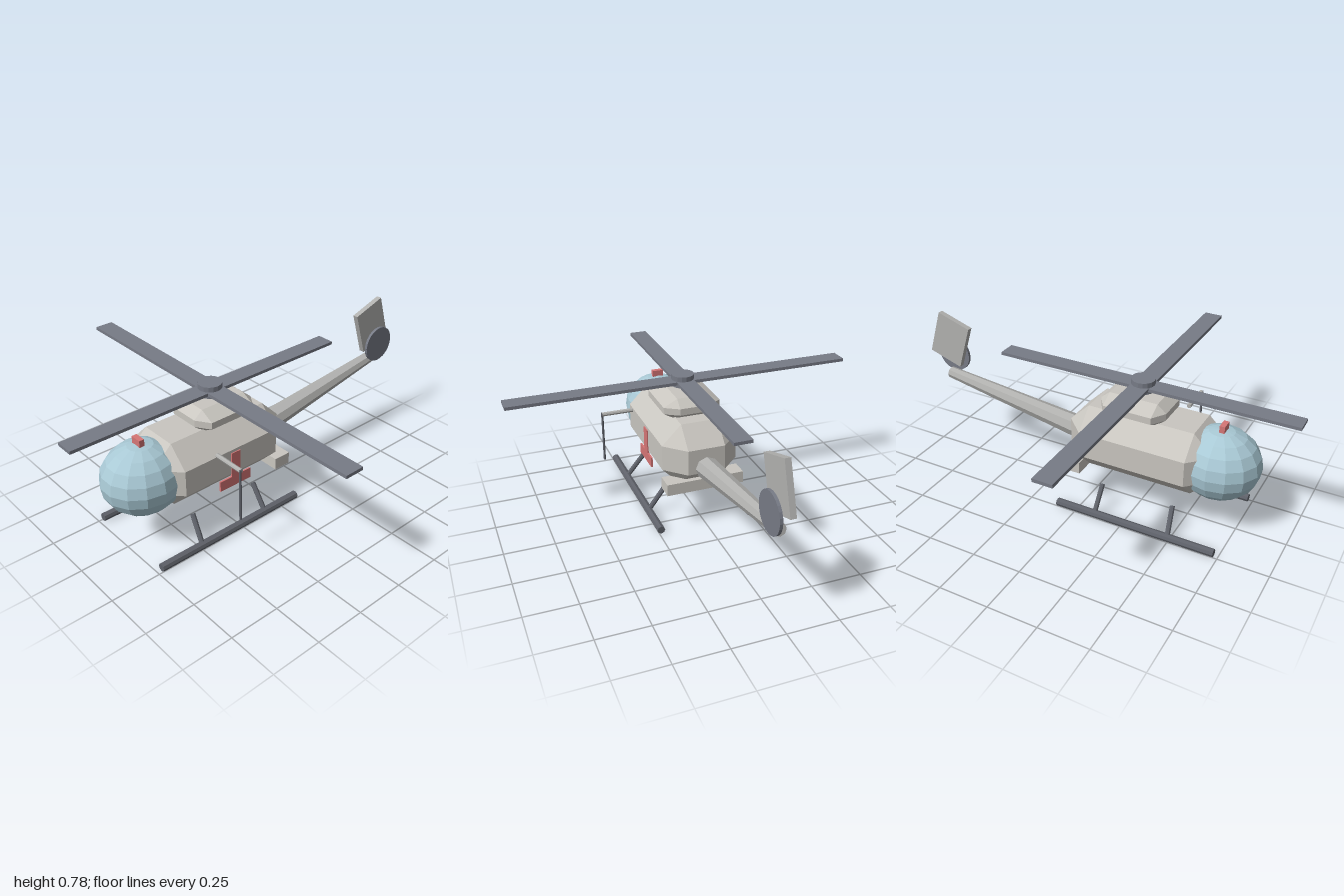
import * as THREE from 'three';
import { ConvexGeometry } from 'three/addons/geometries/ConvexGeometry.js';

const mat = (name, color) => {
  const m = new THREE.MeshStandardMaterial({ color, flatShading: true });
  m.name = name;
  return m;
};

// Box with every edge chamfered, with its own chamfer depth on each axis
function chamferedBox([w, h, d], [bx, by, bz]) {
  const pts = [];
  for (const x of [-w / 2, w / 2]) for (const y of [-h / 2, h / 2]) for (const z of [-d / 2, d / 2]) {
    const ix = x - Math.sign(x) * bx, iy = y - Math.sign(y) * by, iz = z - Math.sign(z) * bz;
    pts.push(new THREE.Vector3(x, iy, iz), new THREE.Vector3(ix, y, iz), new THREE.Vector3(ix, iy, z));
  }
  return new ConvexGeometry(pts);
}

// Cylinder running from point a to point b
function rod(a, b, ra, rb = ra, sides = 8) {
  const p = new THREE.Vector3(...a), q = new THREE.Vector3(...b);
  const dir = q.clone().sub(p);
  const g = new THREE.CylinderGeometry(rb, ra, dir.length(), sides);
  g.applyQuaternion(new THREE.Quaternion().setFromUnitVectors(new THREE.Vector3(0, 1, 0), dir.normalize()));
  const c = p.add(q).multiplyScalar(0.5);
  return g.translate(c.x, c.y, c.z);
}

export function createModel() {
  const group = new THREE.Group();
  const hull = mat('hull light grey', 0xc9c6c0);
  const tail = mat('tail grey', 0xb2b2b0);
  const glass = mat('canopy blue', 0xa9c9d5);
  const blade = mat('rotor slate', 0x777b86);
  const dark = mat('skid dark grey', 0x5f626a);
  const red = mat('marking red', 0xd67676);

  const add = (name, geometry, material, x = 0, y = 0, z = 0) => {
    const m = new THREE.Mesh(geometry, material);
    m.name = name;
    m.position.set(x, y, z);
    group.add(m);
    return m;
  };
  const box = (name, size, material, x, y, z) => add(name, new THREE.BoxGeometry(...size), material, x, y, z);

  // Fuselage, canopy and engine housing
  add('fuselage', chamferedBox([0.39, 0.33, 0.74], [0.1, 0.1, 0.1]), hull, 0, 0.365, 0.27);
  const canopy = new THREE.SphereGeometry(1, 14, 10).scale(0.183, 0.178, 0.203);
  add('canopy', canopy, glass, 0, 0.355, 0.638);
  add('engineHousing', chamferedBox([0.295, 0.11, 0.335], [0.07, 0.038, 0.045]), hull, 0, 0.566, 0.225);
  box('stabilizer', [0.4, 0.06, 0.09], hull, 0, 0.23, -0.043);

  // Tail boom, fin and tail rotor disc
  add('tailBoom', rod([0, 0.312, 0], [0, 0.445, -0.893], 0.061, 0.03), tail);
  const fin = box('tailFin', [0.028, 0.24, 0.19], tail, 0, 0.642, -0.872);
  fin.rotation.x = 0.315;
  add('tailRotor', rod([0.038, 0.537, -0.893], [0.052, 0.537, -0.893], 0.096, 0.096, 24), blade);

  // Main rotor
  add('mast', rod([0, 0.6, 0.237], [0, 0.65, 0.237], 0.012), dark);
  add('rotorHub', new THREE.CylinderGeometry(0.058, 0.058, 0.058, 16), blade, 0, 0.664, 0.237);
  box('crossBlade', [1.79, 0.016, 0.094], blade, 0, 0.66, 0.237);
  box('lengthBlade', [0.09, 0.0155, 1.524], blade, 0, 0.66, 0.238);

  // Landing skids and their struts
  for (const s of [-1, 1]) {
    add('skid', rod([s * 0.24, 0.021, 0.73], [s * 0.24, 0.021, -0.1], 0.02), dark);
    add('frontStrut', rod([s * 0.24, 0.021, 0.495], [s * 0.15, 0.142, 0.478], 0.013), dark);
    add('rearStrut', rod([s * 0.24, 0.021, 0.107], [s * 0.15, 0.142, 0.105], 0.013), dark);
  }

  // Winch on the left side
  add('winchArm', rod([0.225, 0.467, 0.384], [0.388, 0.467, 0.384], 0.011), tail);
  add('winchCable', rod([0.387, 0.475, 0.388], [0.387, 0.205, 0.388], 0.006), dark);

  // Red lamp and side marking
  box('lamp', [0.058, 0.035, 0.026], red, 0, 0.545, 0.646);
  box('markStem', [0.009, 0.135, 0.053], red, 0.196, 0.3475, 0.252);
  box('markBar', [0.009, 0.053, 0.182], red, 0.196, 0.2595, 0.257);

  return group;
}
